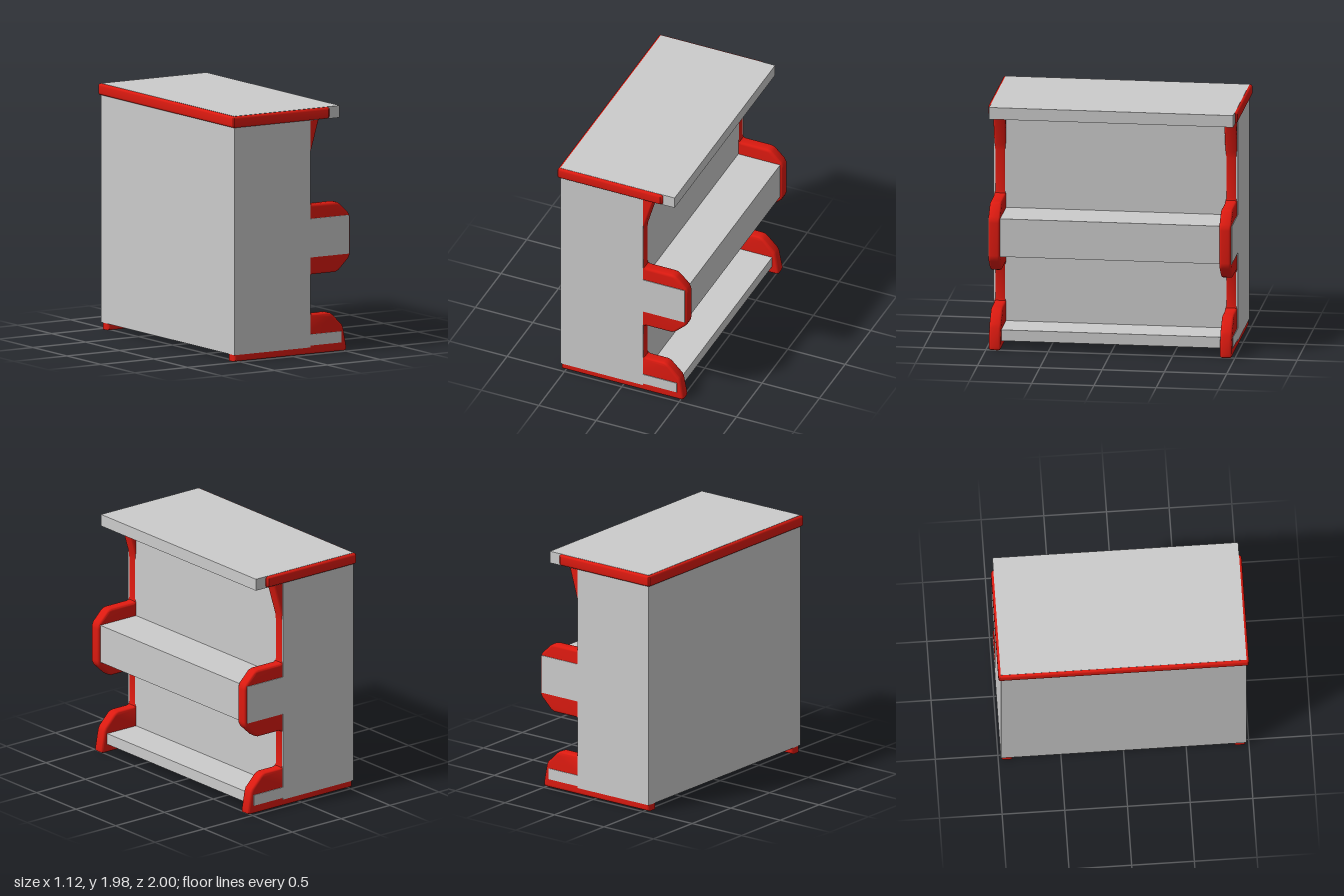
import * as THREE from 'three';
import { toCreasedNormals } from 'three/addons/utils/BufferGeometryUtils.js';

const grey = new THREE.MeshStandardMaterial({ color: 0xcccccc });
const red = new THREE.MeshStandardMaterial({ color: 0xdd1a10 });
const BEVEL = 0.02;

// Box given by its x and y ranges, running the full length in z
function slab(name, x0, x1, y0, y1) {
  const mesh = new THREE.Mesh(new THREE.BoxGeometry(x1 - x0, y1 - y0, 1.96), grey);
  mesh.name = name;
  mesh.position.set((x0 + x1) / 2, (y0 + y1) / 2, 0);
  return mesh;
}

// Outline extruded to a total thickness, rounded edges kept inside the outline
function roundedPlate(points, thickness) {
  const shape = new THREE.Shape(points.map(([x, y]) => new THREE.Vector2(x, y)));
  const geometry = new THREE.ExtrudeGeometry(shape, {
    depth: thickness - 2 * BEVEL,
    bevelEnabled: true,
    bevelSize: BEVEL,
    bevelOffset: -BEVEL,
    bevelThickness: BEVEL,
    bevelSegments: 4,
  });
  geometry.translate(0, 0, BEVEL);
  return toCreasedNormals(geometry, 0.6);
}

export function createModel() {
  const group = new THREE.Group();

  // Cabinet body, overhanging top and the two shelves
  group.add(
    slab('cabinetBody', -0.545, 0.175, 0.055, 1.982),
    slab('topOverhang', 0.175, 0.452, 1.885, 1.982),
    slab('middleShelf', 0.175, 0.54, 0.78, 1.092),
    slab('footShelf', 0.175, 0.47, 0.07, 0.16),
  );

  // End frames: base rail, foot, shelf bracket and top brace in one outline
  const frameOutline = [
    [-0.54, 0], [0.505, 0], [0.522, 0.008], [0.525, 0.03],
    [0.497, 0.18], [0.485, 0.21], [0.395, 0.30], [0.375, 0.314], [0.35, 0.32],
    [0.2, 0.32], [0.184, 0.327], [0.178, 0.343],
    [0.178, 0.617], [0.184, 0.633], [0.2, 0.64],
    [0.42, 0.64], [0.45, 0.652], [0.545, 0.742], [0.558, 0.77],
    [0.56, 0.79], [0.56, 1.06], [0.558, 1.08], [0.545, 1.108],
    [0.465, 1.187], [0.445, 1.2], [0.42, 1.205],
    [0.2, 1.205], [0.184, 1.212], [0.178, 1.228],
    [0.178, 1.56], [0.184, 1.61], [0.268, 1.9],
    [0.05, 1.9], [0.05, 0.15], [-0.54, 0.15],
  ];
  const frameGeometry = roundedPlate(frameOutline, 0.095);
  for (const [name, z] of [['frontEndFrame', 0.88], ['backEndFrame', -0.975]]) {
    const frame = new THREE.Mesh(frameGeometry, red);
    frame.name = name;
    frame.position.z = z;
    group.add(frame);
  }

  // Rounded trim wrapping three sides of the top
  const trimOutline = [
    [0.335, -1], [0.352, -0.985], [0.352, -0.94], [-0.5, -0.94],
    [-0.5, 0.94], [0.352, 0.94], [0.352, 0.985], [0.335, 1],
    [-0.555, 1], [-0.565, 0.99], [-0.565, -0.99], [-0.555, -1],
  ];
  const trim = new THREE.Mesh(roundedPlate(trimOutline.reverse(), 0.092), red);
  trim.name = 'topTrim';
  trim.rotation.x = -Math.PI / 2;
  trim.position.y = 1.888;
  group.add(trim);

  return group;
}
